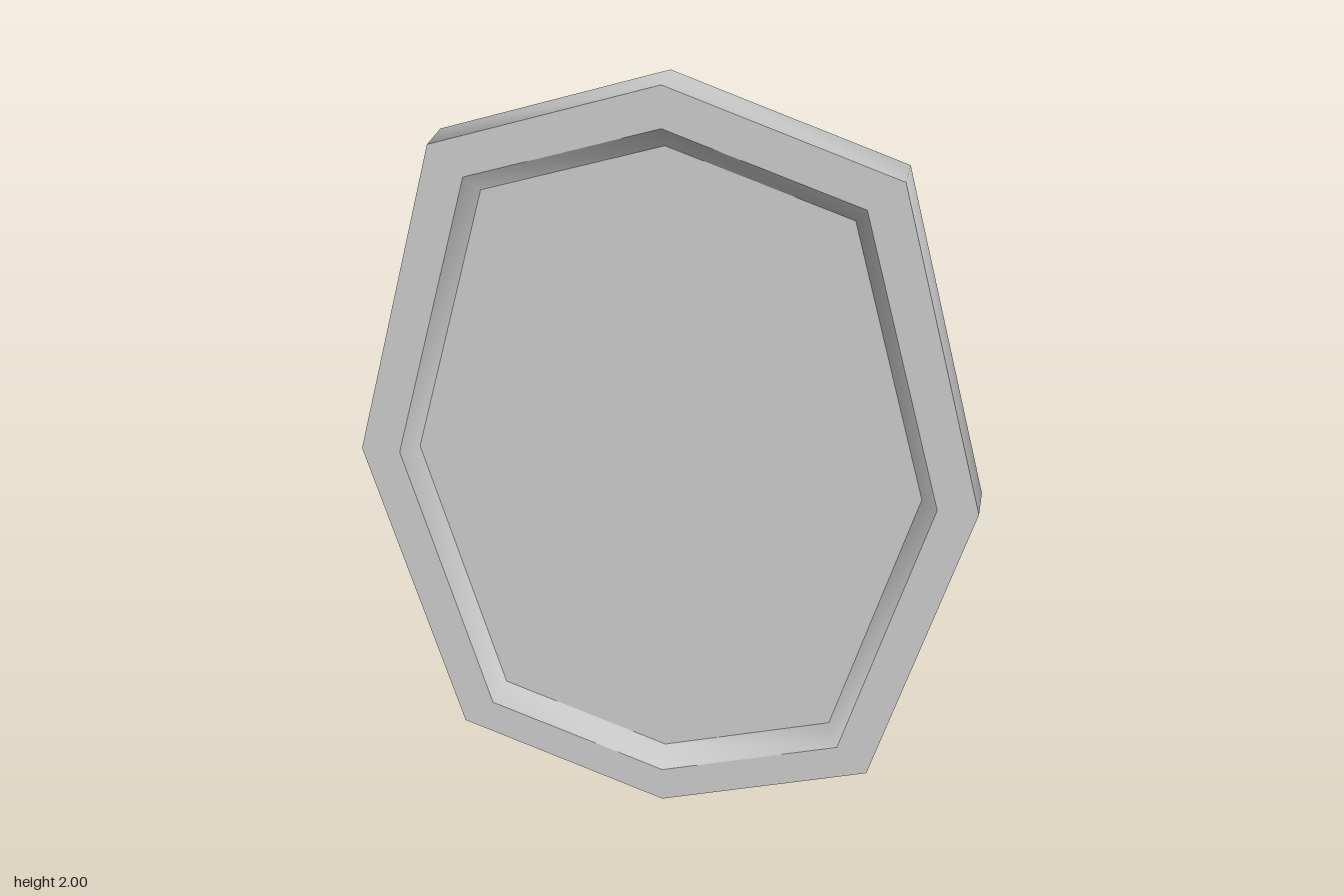
import * as THREE from 'three';
import { toCreasedNormals } from 'three/addons/utils/BufferGeometryUtils.js';

// Eight-sided outline, counter-clockwise from the front: side tip, shoulder, top tip, mirrored
function outline(tipX, shoulderX, shoulderY, tipY) {
  return [
    [tipX, 0], [shoulderX, shoulderY], [0, tipY], [-shoulderX, shoulderY],
    [-tipX, 0], [-shoulderX, -shoulderY], [0, -tipY], [shoulderX, -shoulderY],
  ];
}

const OUTER = outline(0.763, 0.54, 0.82, 1);
const MIDDLE = outline(0.665, 0.46, 0.748, 0.9);
const INNER = outline(0.625, 0.432, 0.703, 0.845);

// Strip of quads joining two outlines at two depths, smooth around the loop
function band(a, za, b, zb) {
  const positions = [], index = [], n = a.length;
  a.forEach(([x, y]) => positions.push(x, y, za));
  b.forEach(([x, y]) => positions.push(x, y, zb));
  for (let i = 0; i < n; i++) {
    const j = (i + 1) % n;
    index.push(i, n + i, n + j, i, n + j, j);
  }
  const g = new THREE.BufferGeometry();
  g.setAttribute('position', new THREE.Float32BufferAttribute(positions, 3));
  g.setIndex(index);
  g.computeVertexNormals();
  return g;
}

export function createModel() {
  const group = new THREE.Group();
  group.name = 'octagonalFrame';
  const material = new THREE.MeshStandardMaterial({ color: 0xcccccc, side: THREE.DoubleSide });
  const add = (name, geometry) => {
    const mesh = new THREE.Mesh(geometry, material);
    mesh.name = name;
    mesh.position.y = 1;
    group.add(mesh);
    return mesh;
  };

  const front = 0.07, back = -0.03, panelZ = 0.03, lipZ = -0.07;

  // Recessed panel
  const shape = new THREE.Shape(INNER.map(([x, y]) => new THREE.Vector2(x, y)));
  add('panel', new THREE.ShapeGeometry(shape)).position.z = panelZ;

  // Hollow frame shell, from the panel edge outward and round to the back
  add('frontBevel', band(INNER, panelZ, MIDDLE, front));
  add('frontRim', band(MIDDLE, front, OUTER, front));
  add('outerWall', band(OUTER, front, OUTER, back));
  add('backRim', band(OUTER, back, MIDDLE, back));

  // Raised lip round the open back
  add('backLip', toCreasedNormals(band(MIDDLE, back, INNER, lipZ), 0.55));

  return group;
}
